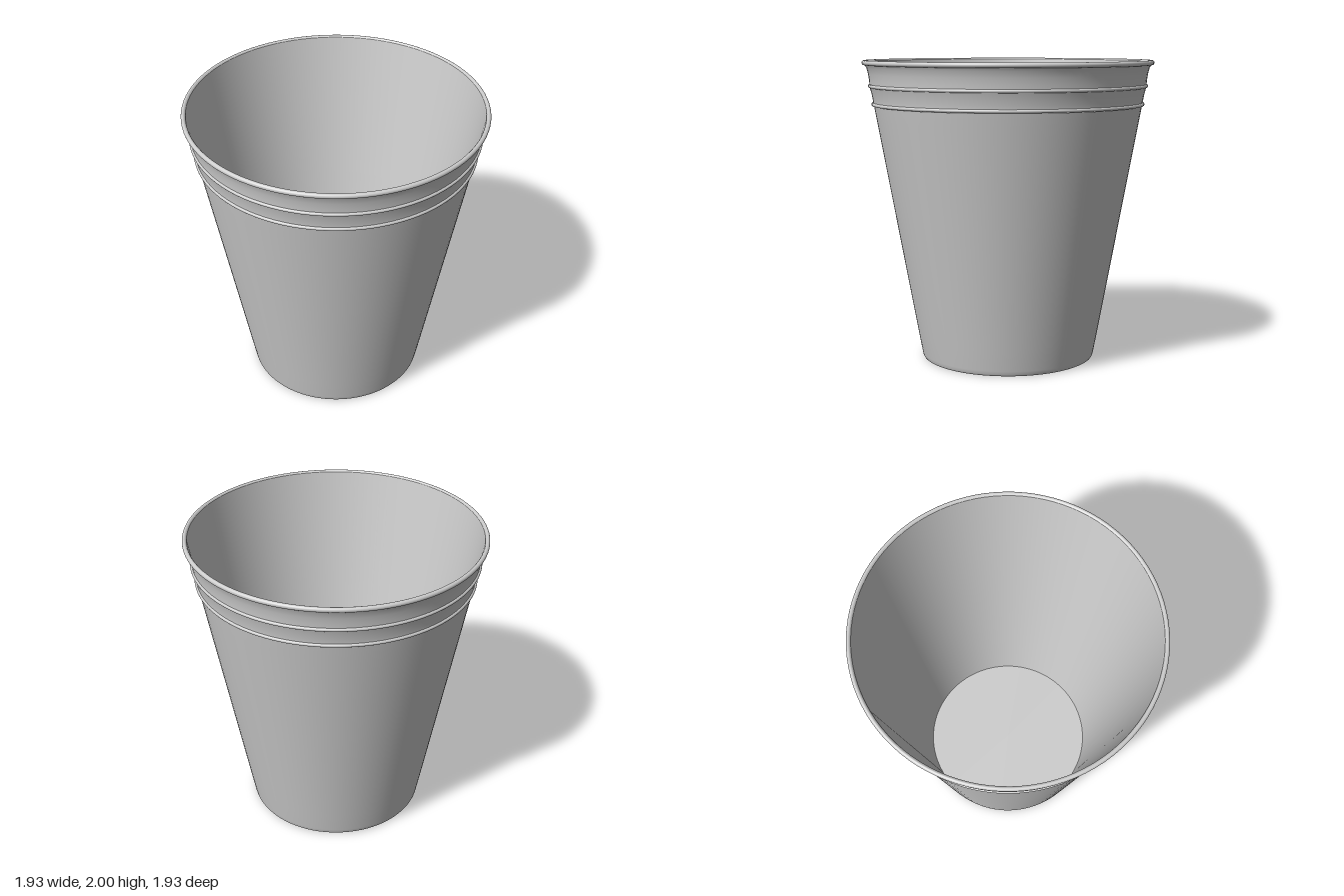
import * as THREE from 'three';

const SEGMENTS = 96;

export function createModel() {
  const cup = new THREE.Group();
  cup.name = 'cup';
  const plastic = new THREE.MeshStandardMaterial({ color: 0xcccccc });
  plastic.name = 'light grey plastic';

  const add = (name, geometry) => {
    const mesh = new THREE.Mesh(geometry, plastic);
    mesh.name = name;
    cup.add(mesh);
    return mesh;
  };
  // Surface of revolution; points run as [radius, height]
  const turn = (name, points) =>
    add(name, new THREE.LatheGeometry(points.map(([r, y]) => new THREE.Vector2(r, y)), SEGMENTS));
  // Half-round bead outline, from its lower to its upper edge
  const bead = (r, y, size, from = -90, to = 90, steps = 8) =>
    Array.from({ length: steps + 1 }, (_, i) => {
      const a = THREE.MathUtils.degToRad(from + ((to - from) * i) / steps);
      return [r + size * Math.cos(a), y + size * Math.sin(a)];
    });

  // Tapered outer wall with a small rounded foot
  turn('outerWall', [[0.566, 0], [0.574, 0.004], [0.58, 0.013], [0.585, 0.035],
    [0.612, 0.18], [0.75, 0.94], [0.872, 1.61], [0.888, 1.7]]);

  // Two grip ridges and the bands above them
  turn('lowerRidge', bead(0.894, 1.712, 0.011));
  turn('lowerBand', [[0.894, 1.722], [0.896, 1.745], [0.905, 1.79], [0.915, 1.823]]);
  turn('upperRidge', bead(0.916, 1.832, 0.011));
  turn('upperBand', [[0.916, 1.842], [0.918, 1.87], [0.924, 1.91], [0.934, 1.95], [0.948, 1.973]]);

  // Rolled lip around the mouth
  turn('rim', [...bead(0.949, 1.984, 0.016, -100, 90, 14), [0.942, 1.998], [0.936, 1.99]]);

  // Inside wall, wound to face the axis
  turn('innerWall', [[0.936, 1.99], [0.75, 1.0], [0.564, 0.015]]);

  // Floor seen from inside and the underside of the base
  const floor = add('floor', new THREE.CircleGeometry(0.564, SEGMENTS));
  floor.rotation.x = -Math.PI / 2;
  floor.position.y = 0.015;
  const underside = add('underside', new THREE.CircleGeometry(0.566, SEGMENTS));
  underside.rotation.x = Math.PI / 2;

  return cup;
}
